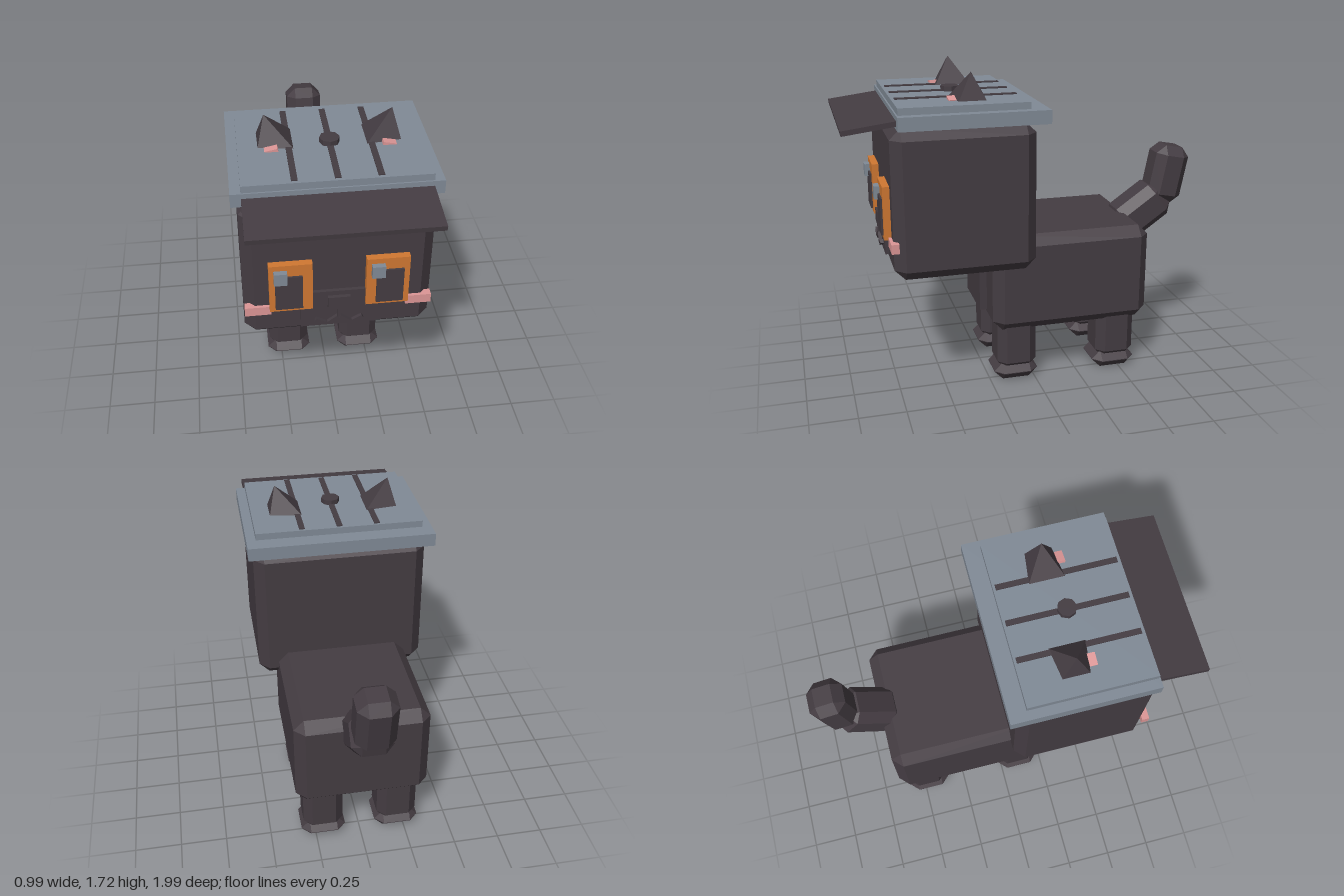
import * as THREE from 'three';
import { ConvexGeometry } from 'three/addons/geometries/ConvexGeometry.js';

const mat = (name, color) => {
  const m = new THREE.MeshStandardMaterial({ color });
  m.name = name;
  return m;
};

// Box with every edge and corner cut flat
function chamferBox(w, h, d, c) {
  const x = w / 2, y = h / 2, z = d / 2, pts = [];
  for (const sx of [-1, 1]) for (const sy of [-1, 1]) for (const sz of [-1, 1]) {
    pts.push(
      new THREE.Vector3(sx * x, sy * (y - c), sz * (z - c)),
      new THREE.Vector3(sx * (x - c), sy * y, sz * (z - c)),
      new THREE.Vector3(sx * (x - c), sy * (y - c), sz * z));
  }
  return new ConvexGeometry(pts);
}

export function createModel() {
  const fur = mat('charcoal fur', 0x443c42);
  const grey = mat('slate grey', 0x808a96);
  const orange = mat('eye orange', 0xd07832);
  const pink = mat('soft pink', 0xdc9696);

  const model = new THREE.Group();
  model.name = 'blockyCat';
  const add = (name, geo, material, x, y, z, parent = model) => {
    const mesh = new THREE.Mesh(geo, material);
    mesh.name = name;
    mesh.position.set(x, y, z);
    parent.add(mesh);
    return mesh;
  };
  const box = (w, h, d) => new THREE.BoxGeometry(w, h, d);
  const group = (name) => {
    const g = new THREE.Group();
    g.name = name;
    model.add(g);
    return g;
  };

  // Body and chest
  add('body', chamferBox(0.72, 0.54, 0.88, 0.055), fur, 0, 0.58, -0.2);
  add('chest', box(0.33, 0.36, 0.08), fur, 0, 0.56, 0.24);

  // Legs and paws
  const legGeo = chamferBox(0.22, 0.32, 0.22, 0.045);
  const pawGeo = chamferBox(0.245, 0.1, 0.245, 0.048);
  for (const [end, z] of [['front', 0.098], ['back', -0.476]]) {
    for (const [side, s] of [['Left', 1], ['Right', -1]]) {
      const leg = group(end + side + 'Leg');
      add('leg', legGeo, fur, s * 0.207, 0.22, z, leg);
      add('paw', pawGeo, fur, s * 0.207, 0.05, z + 0.007, leg);
    }
  }

  // Two-piece tail bending upwards
  const tail = group('tail');
  add('tailBase', chamferBox(0.22, 0.33, 0.22, 0.05), fur, 0, 0.84, -0.71, tail).rotation.x = -0.96;
  add('tailTip', chamferBox(0.205, 0.33, 0.2, 0.05), fur, 0, 1.05, -0.866, tail).rotation.x = -0.19;

  // Head and muzzle
  const head = group('head');
  add('skull', chamferBox(0.93, 0.78, 0.74, 0.055), fur, 0, 1.09, 0.4, head);
  add('muzzle', box(0.375, 0.215, 0.04), fur, 0, 0.873, 0.768, head);
  add('nose', box(0.11, 0.075, 0.04), fur, 0, 0.917, 0.787, head);

  // Mouth strokes
  add('mouthStem', box(0.018, 0.06, 0.03), fur, 0, 0.855, 0.79, head);
  for (const s of [-1, 1]) {
    add('mouthInner', box(0.06, 0.02, 0.03), fur, s * 0.028, 0.808, 0.791, head).rotation.z = -s * 0.65;
    add('mouthOuter', box(0.055, 0.02, 0.03), fur, s * 0.093, 0.803, 0.791, head).rotation.z = s * 0.5;
  }

  // Eyes and cheeks; the highlights sit on the same side of both eyes
  for (const s of [-1, 1]) {
    add('iris', box(0.21, 0.28, 0.045), orange, s * 0.235, 1.035, 0.784, head);
    add('pupil', box(0.133, 0.197, 0.03), fur, s * 0.245, 1.012, 0.802, head);
    add('highlight', box(0.064, 0.068, 0.03), grey, s * 0.235 - 0.05, 1.113, 0.82, head);
    add('cheek', box(0.128, 0.05, 0.04), pink, s * 0.397, 0.885, 0.766, head);
  }

  // Flat cap with ribs, button and tilted visor
  const cap = group('cap');
  add('capBand', box(0.99, 0.07, 0.76), grey, 0, 1.515, 0.355, cap);
  add('capTop', box(0.89, 0.065, 0.66), grey, 0, 1.553, 0.397, cap);
  for (const x of [-0.2, 0, 0.2]) {
    add('capRib', box(0.03, 0.02, 0.63), fur, x, 1.581, 0.395, cap);
  }
  add('capButton', new THREE.CylinderGeometry(0.05, 0.05, 0.04, 8).toNonIndexed(), fur, 0, 1.592, 0.39, cap)
    .geometry.computeVertexNormals();
  add('visor', box(0.89, 0.026, 0.28), fur, 0, 1.495, 0.86, cap).rotation.x = 0.13;

  // Four-sided ears leaning outwards, poking through the cap
  const earGeo = new THREE.ConeGeometry(0.128 * Math.SQRT2, 0.23, 4).toNonIndexed();
  earGeo.rotateY(Math.PI / 4);
  earGeo.translate(0, 0.115, 0);
  earGeo.computeVertexNormals();
  for (const [side, s] of [['left', 1], ['right', -1]]) {
    const ear = group(side + 'Ear');
    add('ear', earGeo, fur, s * 0.253, 1.502, 0.34, ear).rotation.z = -s * 0.25;
    add('innerEar', box(0.065, 0.03, 0.04), pink, s * 0.283, 1.581, 0.435, ear).rotation.z = -s * 0.2;
  }

  return model;
}
